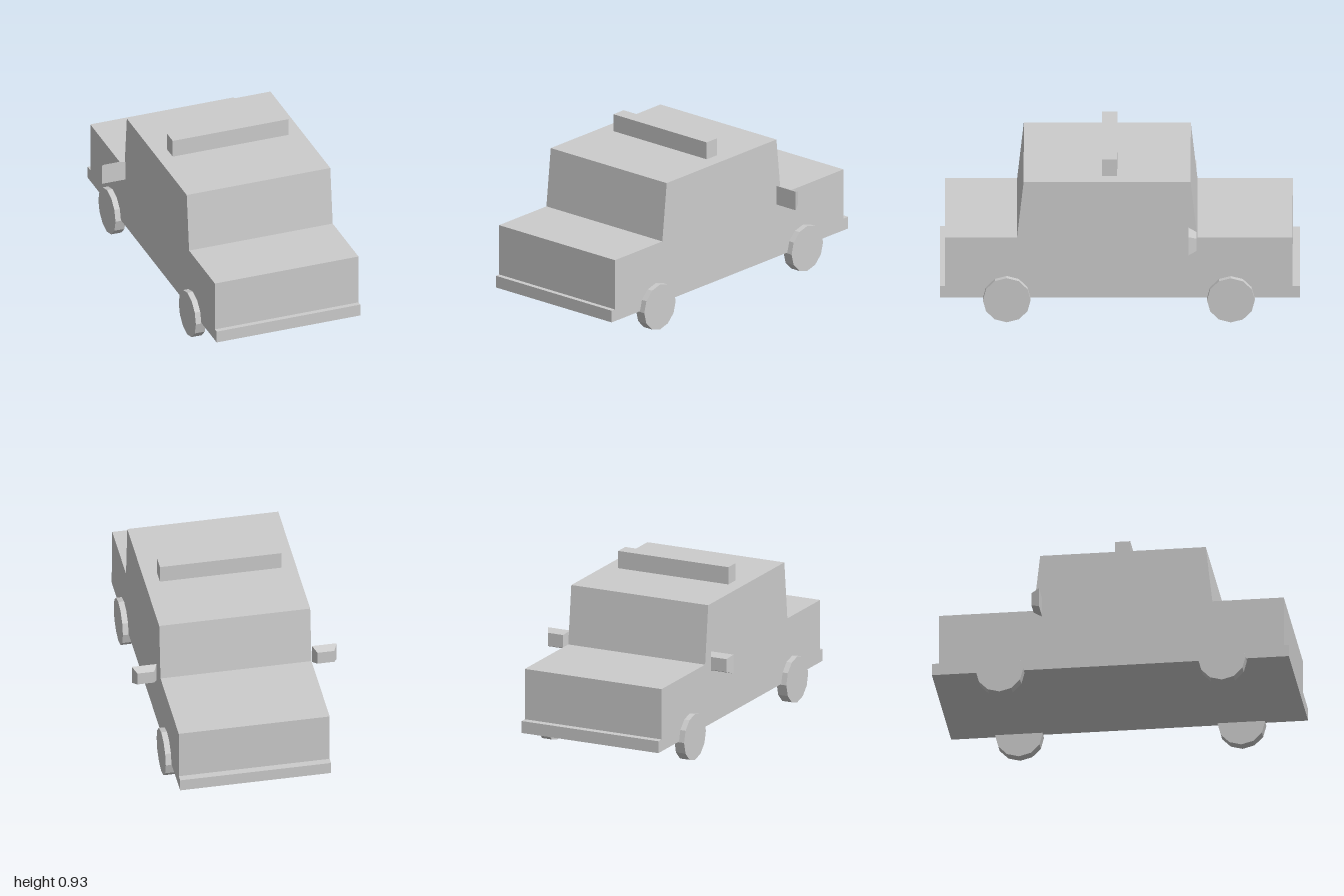
import * as THREE from 'three';

const material = new THREE.MeshStandardMaterial({ color: 0xcccccc, flatShading: true });

function part(name, geometry, x = 0, y = 0, z = 0) {
  const mesh = new THREE.Mesh(geometry, material);
  mesh.name = name;
  mesh.position.set(x, y, z);
  return mesh;
}

// Side profile (z, y) with bumpers, hood, cabin and trunk, extruded across the width
function bodyGeometry(width) {
  const profile = [
    [-1, 0.137], [1, 0.137], [1, 0.206], [0.972, 0.206], [0.972, 0.498],
    [0.572, 0.498], [0.535, 0.833], [-0.393, 0.833], [-0.43, 0.498],
    [-0.96, 0.498], [-0.96, 0.206], [-1, 0.206],
  ];
  const shape = new THREE.Shape(profile.map(([z, y]) => new THREE.Vector2(z, y)));
  const geometry = new THREE.ExtrudeGeometry(shape, { depth: width, bevelEnabled: false });
  return geometry.translate(0, 0, -width / 2).rotateY(-Math.PI / 2);
}

// Box whose rear face is narrowed
function mirrorGeometry() {
  const geometry = new THREE.BoxGeometry(0.14, 0.11, 0.045);
  const p = geometry.attributes.position;
  for (let i = 0; i < p.count; i++) {
    if (p.getZ(i) < 0) p.setXY(i, p.getX(i) * 0.68, p.getY(i) * 0.68);
  }
  geometry.computeVertexNormals();
  return geometry;
}

export function createModel() {
  const model = new THREE.Group();
  model.name = 'car';

  model.add(part('body', bodyGeometry(0.855)));
  model.add(part('roofLightBar', new THREE.BoxGeometry(0.688, 0.1, 0.086), 0, 0.883, 0.058));

  // Wheels and mirrors on both sides
  const wheel = new THREE.CylinderGeometry(0.133, 0.133, 0.06, 12).rotateZ(Math.PI / 2);
  const mirror = mirrorGeometry();
  for (const [side, s] of [['left', 1], ['right', -1]]) {
    model.add(part(side + 'FrontWheel', wheel, s * 0.43, 0.133, 0.629));
    model.add(part(side + 'RearWheel', wheel, s * 0.43, 0.133, -0.617));
    model.add(part(side + 'Mirror', mirror, s * 0.51, 0.509, -0.403));
  }
  return model;
}
